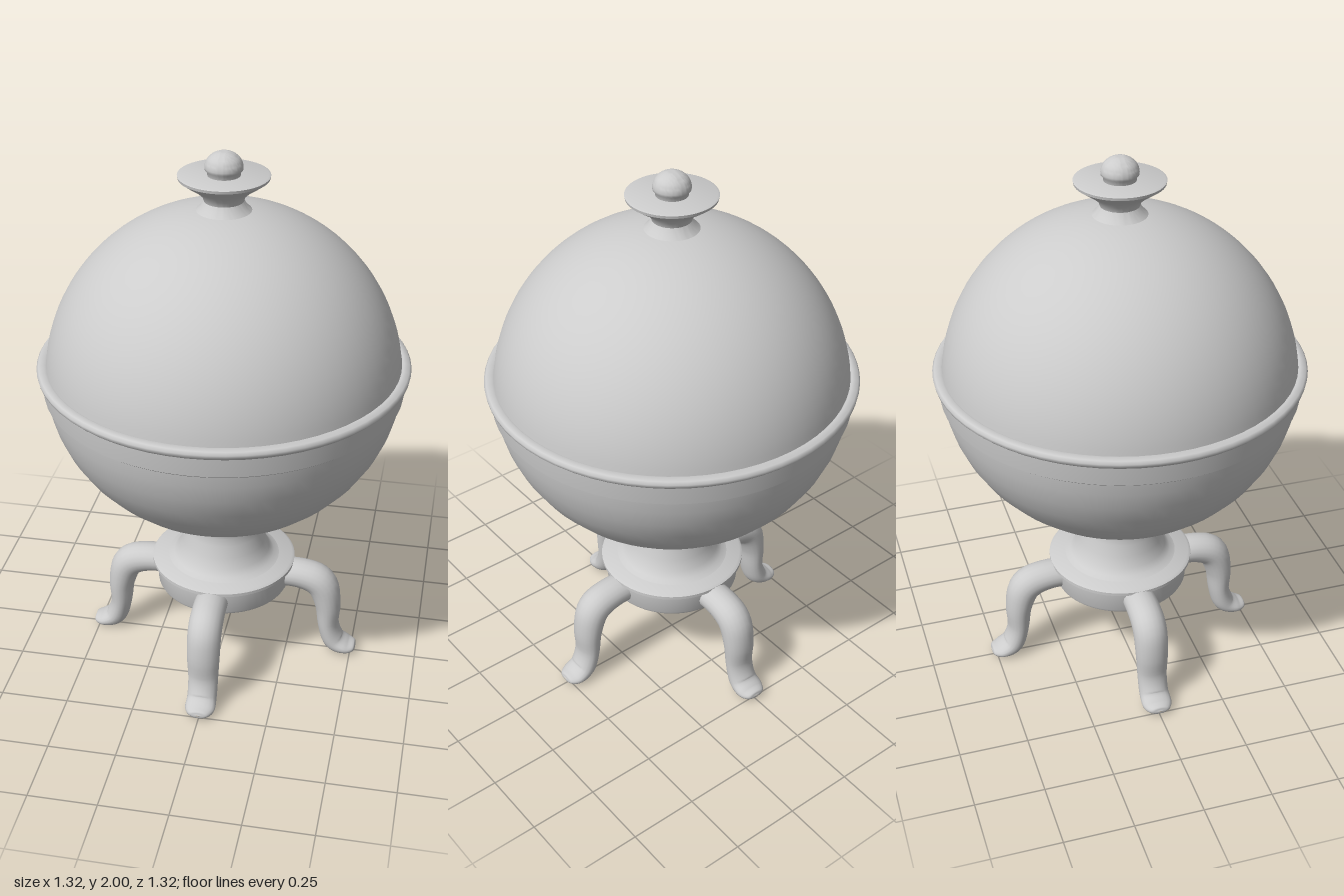
import * as THREE from 'three';
import { toCreasedNormals } from 'three/addons/utils/BufferGeometryUtils.js';

const grey = new THREE.MeshStandardMaterial({ color: 0xcccccc });
grey.name = 'light grey';

function addMesh(parent, name, geometry) {
  const mesh = new THREE.Mesh(geometry, grey);
  mesh.name = name;
  parent.add(mesh);
  return mesh;
}

// Round part from [radius, height] pairs, listed from bottom to top
function turned(profile, crease = 0.6) {
  const points = profile.map(([r, y]) => new THREE.Vector2(r, y));
  return toCreasedNormals(new THREE.LatheGeometry(points, 64), crease);
}

// Points on an arc of an ellipse, from angle a to b (0 = outermost)
function arc(rx, ry, cy, a, b, n) {
  return Array.from({ length: n + 1 }, (_, i) => {
    const t = a + ((b - a) * i) / n;
    return [Math.max(0, rx * Math.cos(t)), cy + ry * Math.sin(t)];
  });
}

// Curved leg swept along a path, with elliptical cross-sections
function legGeometry() {
  // x, y, half thickness, half width
  const stations = [
    [0.19, 0.34, 0.05, 0.06], [0.3, 0.339, 0.055, 0.062], [0.375, 0.307, 0.06, 0.063],
    [0.405, 0.22, 0.05, 0.061], [0.411, 0.12, 0.04, 0.056], [0.435, 0.05, 0.041, 0.055],
    [0.48, 0.027, 0.027, 0.055], [0.513, 0.025, 0.016, 0.036], [0.52, 0.025, 0.002, 0.008],
  ];
  const path = new THREE.CatmullRomCurve3(stations.map(([x, y]) => new THREE.Vector3(x, y, 0)), false, 'catmullrom');
  const sizes = new THREE.CatmullRomCurve3(stations.map((s) => new THREE.Vector3(s[2], s[3], 0)), false, 'catmullrom');
  const rings = 40, sides = 20, positions = [], index = [];
  for (let i = 0; i <= rings; i++) {
    const c = path.getPoint(i / rings), d = path.getTangent(i / rings), s = sizes.getPoint(i / rings);
    for (let j = 0; j < sides; j++) {
      const a = (j / sides) * Math.PI * 2;
      const n = s.x * Math.cos(a);
      positions.push(c.x - d.y * n, Math.max(0, c.y + d.x * n), s.y * Math.sin(a));
      if (i < rings) {
        const p = i * sides + j, q = i * sides + ((j + 1) % sides);
        index.push(p, q, p + sides, q, q + sides, p + sides);
      }
    }
  }
  const geometry = new THREE.BufferGeometry();
  geometry.setAttribute('position', new THREE.Float32BufferAttribute(positions, 3));
  geometry.setIndex(index);
  geometry.computeVertexNormals();
  return geometry;
}

export function createModel() {
  const model = new THREE.Group();
  model.name = 'footedGlobeVessel';

  // Stand: disc with a thin lip, and a waisted pedestal
  addMesh(model, 'baseDisc', turned([
    [0, 0.29], [0.245, 0.29], [0.25, 0.3], [0.255, 0.375], [0.27, 0.383], [0.27, 0.395], [0.26, 0.402], [0, 0.405],
  ]));
  addMesh(model, 'pedestal', turned([
    [0.215, 0.4], [0.19, 0.412], [0.172, 0.435], [0.157, 0.475], [0.145, 0.52], [0.139, 0.55],
    [0.142, 0.575], [0.16, 0.6], [0.185, 0.625], [0.203, 0.655], [0.2, 0.68],
  ]));

  // Four legs, one on each axis
  const leg = legGeometry();
  for (let i = 0; i < 4; i++) {
    addMesh(model, 'leg' + (i + 1), leg).rotation.y = (i * Math.PI) / 2;
  }

  // Bowl with a slightly raised band and a rolled rim
  addMesh(model, 'bowl', turned([
    [0, 0.652], [0.2, 0.653], [0.26, 0.664], [0.33, 0.694], [0.4, 0.738], [0.46, 0.79], [0.52, 0.857],
    [0.57, 0.935], [0.603, 1.01], [0.623, 1.08], [0.63, 1.125],
    [0.64, 1.133], [0.645, 1.17], [0.648, 1.205],
  ]));
  addMesh(model, 'rim', turned([
    [0.63, 1.195], [0.648, 1.203], [0.66, 1.215], [0.662, 1.226], [0.655, 1.236], [0.635, 1.24], [0.62, 1.232],
  ], 1));

  // Domed lid
  addMesh(model, 'lid', turned(arc(0.632, 0.632, 1.17, 0.08, Math.PI / 2, 24)));

  // Finial: flared dish with a round knob
  addMesh(model, 'finialDish', turned([
    [0.1, 1.79], [0.08, 1.808], [0.068, 1.828], [0.074, 1.846], [0.1, 1.87], [0.13, 1.89],
    [0.155, 1.908], [0.157, 1.918], [0.15, 1.921], [0, 1.915],
  ]));
  addMesh(model, 'finialKnob', turned([
    [0.055, 1.91], [0.057, 1.93], ...arc(0.065, 0.055, 1.945, -0.15, Math.PI / 2, 12),
  ], 1));

  return model;
}
